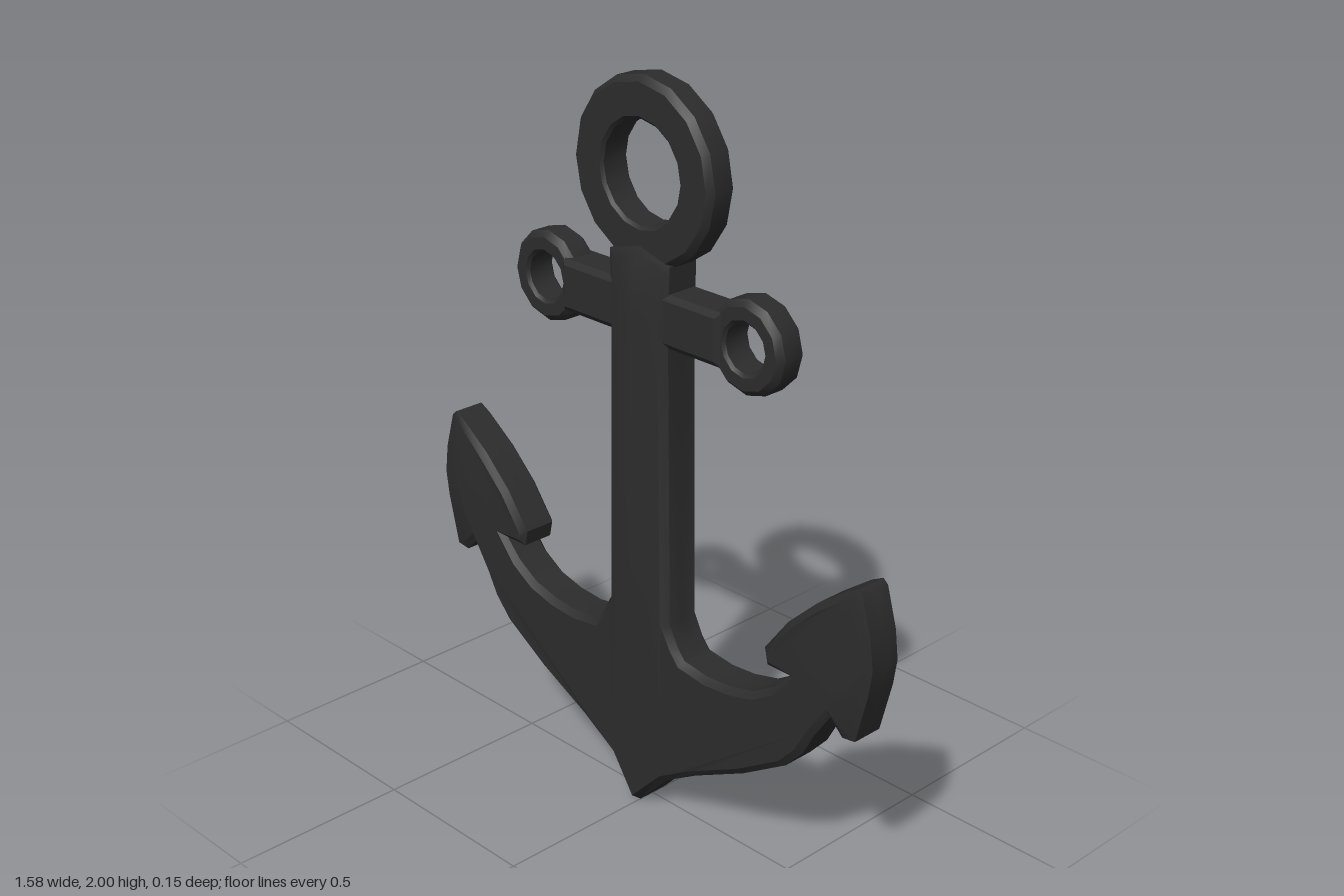
import * as THREE from 'three';
import { toCreasedNormals } from 'three/addons/utils/BufferGeometryUtils.js';

const material = new THREE.MeshStandardMaterial({ color: 0x2c2c2c });
const CREASE = 0.6;
const RIM = 0.045;
const INSET = 0.018;

// Right half of the body silhouette, counter-clockwise from the bottom tip
const ARM = [
  [0.10, 0.105], [0.21, 0.17], [0.38, 0.255], [0.525, 0.345], [0.58, 0.405], [0.615, 0.47], [0.665, 0.545],
  [0.705, 0.505], [0.745, 0.51], [0.78, 0.65], [0.79, 0.72], [0.78, 0.80], [0.75, 0.905], [0.735, 0.918],
  [0.70, 0.90], [0.61, 0.835], [0.52, 0.75], [0.445, 0.65], [0.455, 0.605], [0.53, 0.605],
  [0.48, 0.553], [0.41, 0.51], [0.33, 0.49], [0.25, 0.484], [0.165, 0.495], [0.14, 0.525], [0.11, 0.58],
];
const OUTLINE = [[0, 0], ...ARM, [0.10, 1.41], [0.105, 1.53], [0.105, 1.55], [0, 1.58]]
  .map(([x, y]) => new THREE.Vector2(x, y));

// Half thickness: ridged shank, flat arms, thinner fluke edges and shank top
function faceDepth(x, y) {
  const ridge = 0.06 + 0.017 * Math.max(0, 1 - x / 0.1);
  const fluke = 0.012 * THREE.MathUtils.clamp((x - 0.66) / 0.1, 0, 1);
  const top = THREE.MathUtils.clamp((y - 1.41) / 0.15, 0, 1);
  return THREE.MathUtils.lerp(ridge - fluke, 0.052, top);
}

// Mitred inset of the open outline; its ends stay on the centre line
function insetOutline(points) {
  const normal = (a, b) => new THREE.Vector2(a.y - b.y, b.x - a.x).normalize();
  return points.map((p, i) => {
    if (i === 0) return new THREE.Vector2(0, p.y + INSET * 1.4);
    if (i === points.length - 1) return new THREE.Vector2(0, p.y - INSET);
    const a = normal(points[i - 1], p), b = normal(p, points[i + 1]);
    const m = a.clone().add(b).normalize();
    return p.clone().addScaledVector(m, INSET / Math.max(0.6, m.dot(a)));
  });
}

function bodyGeometry() {
  const inner = insetOutline(OUTLINE);
  const positions = [];
  // Adds a triangle and its copies mirrored in x and z
  const addMirrored = (a, b, c) => {
    for (const sx of [1, -1]) for (const sz of [1, -1]) {
      const corners = sx * sz > 0 ? [a, b, c] : [a, c, b];
      for (const [x, y, z] of corners) positions.push(x * sx, y, z * sz);
    }
  };
  const face = (p) => [p.x, p.y, faceDepth(p.x, p.y)];

  // Faces: the shank strip and the arm with its fluke
  const last = ARM.length;
  const shank = [inner[0], inner[1], ...inner.slice(last), new THREE.Vector2(0, 1.41)];
  const arm = inner.slice(1, last + 1);
  for (const polygon of [shank, arm]) {
    for (const [a, b, c] of THREE.ShapeUtils.triangulateShape(polygon, [])) {
      const tri = [polygon[a], polygon[b], polygon[c]];
      if (THREE.ShapeUtils.area(tri) < 0) tri.reverse();
      addMirrored(...tri.map(face));
    }
  }

  // Bevel and side wall around the silhouette
  for (let i = 0; i < OUTLINE.length - 1; i++) {
    const p = OUTLINE[i], q = OUTLINE[i + 1];
    const rings = [
      [[p.x, p.y, 0], [q.x, q.y, 0]],
      [[p.x, p.y, RIM], [q.x, q.y, RIM]],
      [face(inner[i]), face(inner[i + 1])],
    ];
    for (let k = 0; k < 2; k++) {
      const [a, b] = rings[k], [d, c] = rings[k + 1];
      addMirrored(a, b, c);
      addMirrored(a, c, d);
    }
  }
  const geometry = new THREE.BufferGeometry();
  geometry.setAttribute('position', new THREE.Float32BufferAttribute(positions, 3));
  return toCreasedNormals(geometry, CREASE);
}

// Flat ring with a bevelled rim, facing z
function ringGeometry(outer, hole, sides) {
  const b = 0.016;
  const profile = [
    [hole, -RIM + b / 2], [hole + b / 2, -RIM], [outer - b, -RIM], [outer, -RIM + b],
    [outer, RIM - b], [outer - b, RIM], [hole + b / 2, RIM], [hole, RIM - b / 2], [hole, -RIM + b / 2],
  ].map(([r, h]) => new THREE.Vector2(r, h));
  const geometry = new THREE.LatheGeometry(profile, sides).rotateX(Math.PI / 2);
  return toCreasedNormals(geometry, CREASE);
}

// Crossbar with bevelled long edges
function crossbarGeometry() {
  const b = 0.015, w = 0.265, h = 0.07 - b;
  const shape = new THREE.Shape([[-w, -h], [w, -h], [w, h], [-w, h]].map(([x, y]) => new THREE.Vector2(x, y)));
  const geometry = new THREE.ExtrudeGeometry(shape, {
    depth: 0.085, bevelEnabled: true, bevelSize: b, bevelThickness: 0.012, bevelSegments: 1,
  }).translate(0, 0, -0.0425);
  return toCreasedNormals(geometry, CREASE);
}

export function createModel() {
  const anchor = new THREE.Group();
  anchor.name = 'anchor';
  const add = (name, geometry, x, y) => {
    const mesh = new THREE.Mesh(geometry, material);
    mesh.name = name;
    mesh.position.set(x, y, 0);
    anchor.add(mesh);
  };
  add('shankArmsAndFlukes', bodyGeometry(), 0, 0);
  add('crossbar', crossbarGeometry(), 0, 1.41);
  add('topRing', ringGeometry(0.24, 0.133, 16), 0, 1.76);
  const smallRing = ringGeometry(0.122, 0.065, 12);
  add('leftEye', smallRing, 0.352, 1.41);
  add('rightEye', smallRing, -0.352, 1.41);
  return anchor;
}
